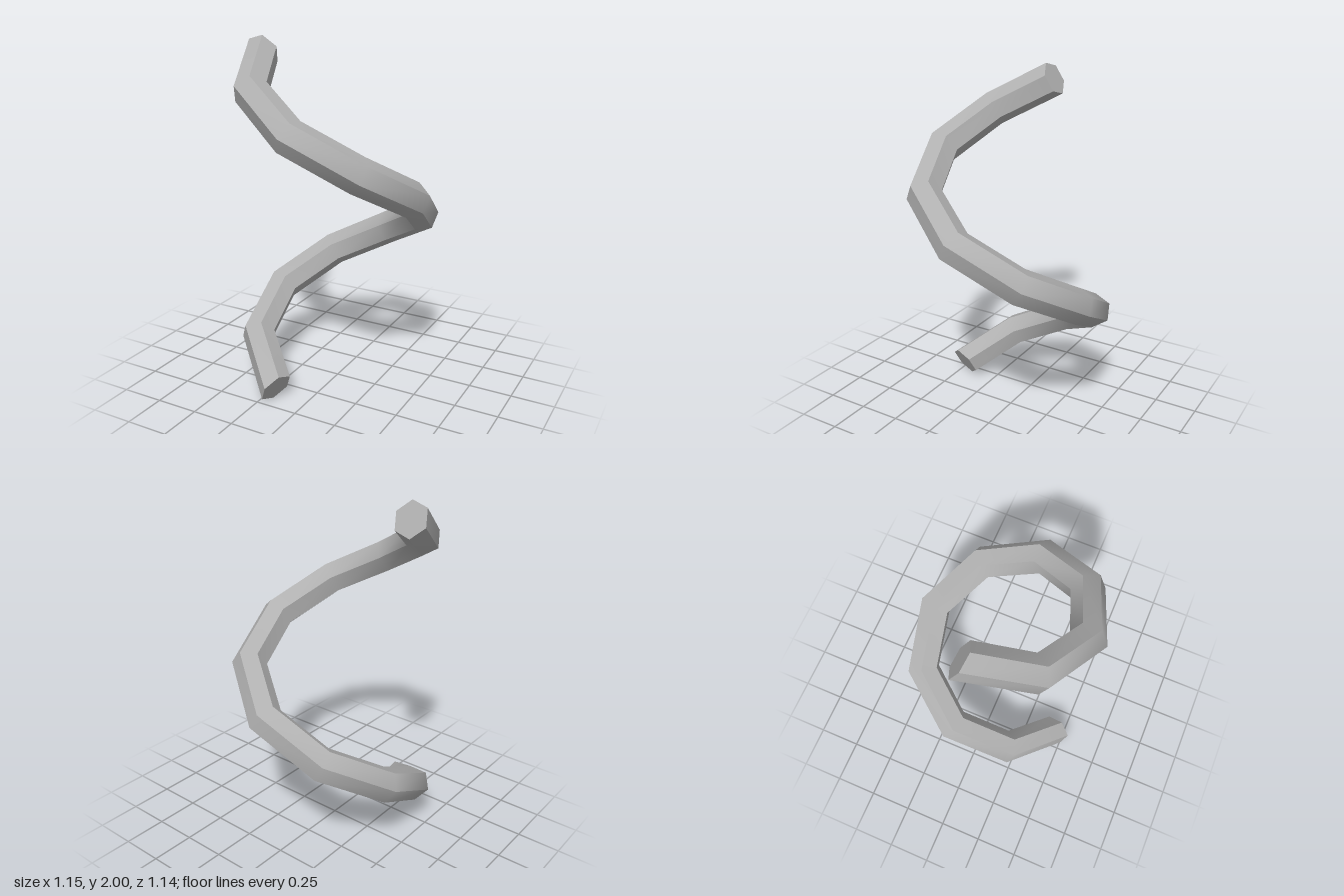
import * as THREE from 'three';
import { toCreasedNormals } from 'three/addons/utils/BufferGeometryUtils.js';

const RADIUS = 0.48, TUBE = 0.1, SEGMENTS = 10, SIDES = 6, RISE = 1.824;
const rad = THREE.MathUtils.degToRad;
const START = rad(-250.5), STEP = rad(43);          // helix angle, measured from x towards z
const PHASE = rad(7.5), TWIST = rad(-20.1);         // roll of the hexagonal section
const PITCH = Math.atan(RISE / (RADIUS * STEP * SEGMENTS));

// Hexagonal bar swept along a helix, one ring of corners per step
function helixBar() {
  const pos = [], index = [];
  for (let i = 0; i <= SEGMENTS; i++) {
    const t = START + STEP * i;
    const out = new THREE.Vector3(Math.cos(t), 0, Math.sin(t));
    const tang = new THREE.Vector3(-Math.sin(t), 0, Math.cos(t));
    const up = new THREE.Vector3(0, Math.cos(PITCH), 0).addScaledVector(tang, -Math.sin(PITCH));
    const centre = out.clone().multiplyScalar(RADIUS).setY(RISE * i / SEGMENTS);
    for (let k = 0; k < SIDES; k++) {
      const a = PHASE + TWIST * i + k * Math.PI * 2 / SIDES;
      const p = centre.clone()
        .addScaledVector(out, TUBE * Math.sin(a))
        .addScaledVector(up, TUBE * Math.cos(a));
      pos.push(p.x, p.y, p.z);
    }
  }
  // side faces
  for (let i = 0; i < SEGMENTS; i++) {
    for (let k = 0; k < SIDES; k++) {
      const n = (k + 1) % SIDES;
      const a = i * SIDES + k, b = i * SIDES + n, c = b + SIDES, d = a + SIDES;
      index.push(a, d, c, a, c, b);
    }
  }
  // end caps
  const last = SEGMENTS * SIDES;
  for (let k = 1; k < SIDES - 1; k++) {
    index.push(0, k, k + 1, last, last + k + 1, last + k);
  }
  const geo = new THREE.BufferGeometry();
  geo.setAttribute('position', new THREE.Float32BufferAttribute(pos, 3));
  geo.setIndex(index);

  // stand on the ground, centred
  geo.computeBoundingBox();
  const { min, max } = geo.boundingBox;
  geo.translate(-(min.x + max.x) / 2, -min.y, -(min.z + max.z) / 2);
  // smooth along the bends, sharp along the hexagon's ridges
  return toCreasedNormals(geo, 0.75);
}

export function createModel() {
  const grey = new THREE.MeshStandardMaterial({ color: 0xb0b0b0 });
  grey.name = 'grey';
  const group = new THREE.Group();
  group.name = 'helix';
  const bar = new THREE.Mesh(helixBar(), grey);
  bar.name = 'helixBar';
  group.add(bar);
  return group;
}
